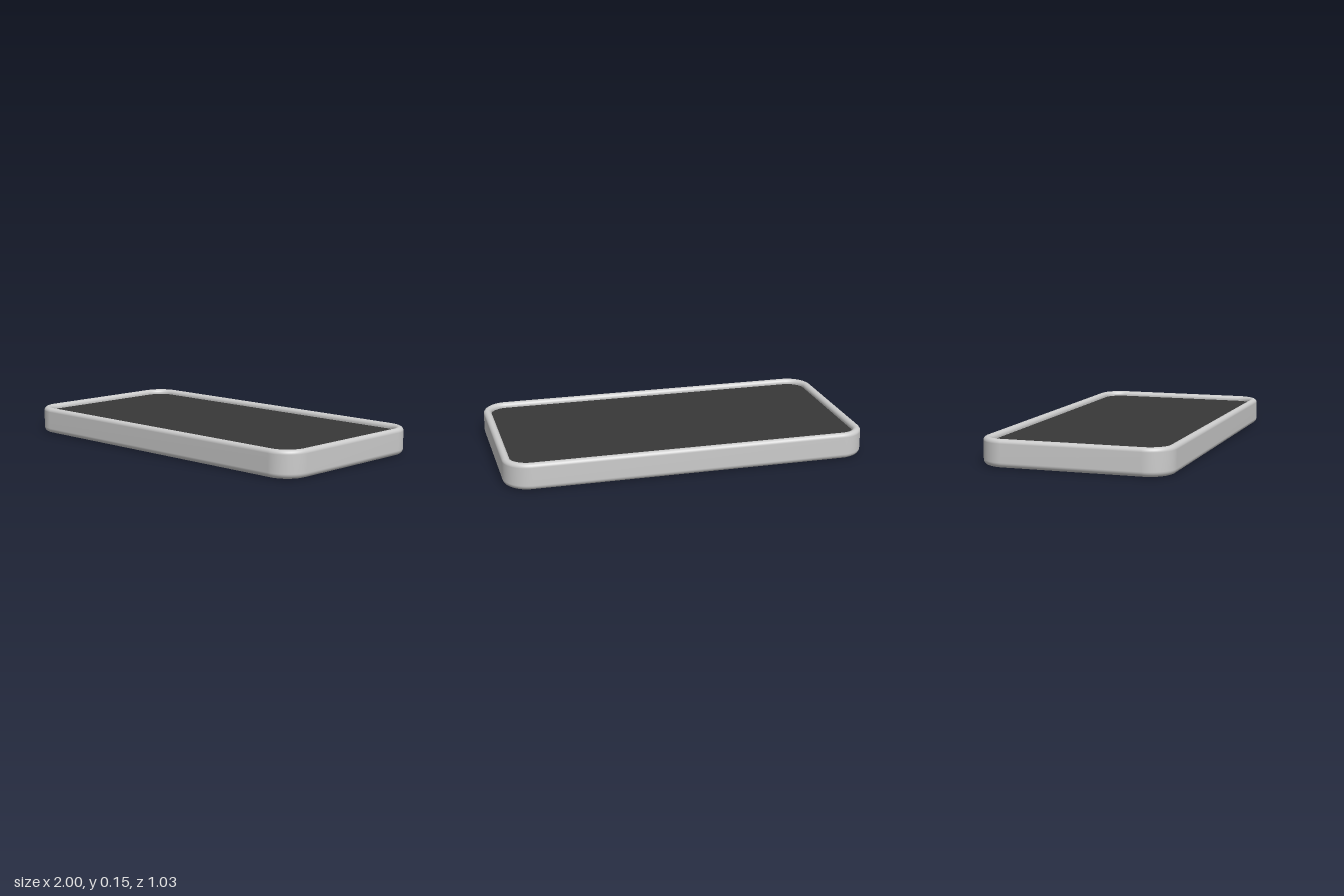
import * as THREE from 'three';

const HALF_X = 1, HALF_Z = 0.515, HEIGHT = 0.147, CORNER = 0.14;
const RIM = 0.044, BOTTOM_BEVEL = 0.028, FLOOR = 0.12;
const CORNER_STEPS = 14;

// Rounded rectangle outline, moved inwards by inset
function outline(inset) {
  const r = CORNER - inset;
  const points = [];
  for (let q = 0; q < 4; q++) {
    const sx = q === 0 || q === 3 ? 1 : -1;
    const sz = q < 2 ? 1 : -1;
    for (let i = 0; i <= CORNER_STEPS; i++) {
      const a = (q + i / CORNER_STEPS) * Math.PI / 2;
      points.push(new THREE.Vector2(
        sx * (HALF_X - CORNER) + r * Math.cos(a),
        sz * (HALF_Z - CORNER) + r * Math.sin(a)));
    }
  }
  return points;
}

// Frame cross-section as [inset, height]: lower bevel, wall, rounded lip, inner wall
function frameProfile() {
  const profile = [];
  const arc = (cx, cy, r, from, to, steps) => {
    for (let i = 0; i <= steps; i++) {
      const a = from + (to - from) * i / steps;
      profile.push([cx - r * Math.cos(a), cy + r * Math.sin(a)]);
    }
  };
  arc(BOTTOM_BEVEL, BOTTOM_BEVEL, BOTTOM_BEVEL, -Math.PI / 2, 0, 8);
  arc(RIM / 2, HEIGHT - RIM / 2, RIM / 2, 0, Math.PI, 16);
  profile.push([RIM, FLOOR - 0.005]);
  return profile;
}

// Sweep the cross-section round the outline
function frameGeometry() {
  const positions = [], index = [];
  const profile = frameProfile();
  const n = 4 * (CORNER_STEPS + 1);
  for (const [inset, y] of profile) {
    for (const p of outline(inset)) positions.push(p.x, y, p.y);
  }
  for (let j = 0; j < profile.length - 1; j++) {
    for (let i = 0; i < n; i++) {
      const k = (i + 1) % n;
      const a = j * n + i, b = j * n + k, c = a + n, d = b + n;
      index.push(a, c, b, b, c, d);
    }
  }
  const geometry = new THREE.BufferGeometry();
  geometry.setAttribute('position', new THREE.Float32BufferAttribute(positions, 3));
  geometry.setIndex(index);
  geometry.computeVertexNormals();
  return geometry;
}

export function createModel() {
  const group = new THREE.Group();
  const grey = new THREE.MeshStandardMaterial({ color: 0xcccccc });
  const dark = new THREE.MeshStandardMaterial({ color: 0x383838 });

  const add = (name, geometry, material, y = 0) => {
    const mesh = new THREE.Mesh(geometry, material);
    mesh.name = name;
    mesh.position.y = y;
    group.add(mesh);
  };

  add('frame', frameGeometry(), grey);

  // Flat dark panels: recessed on top, flush underneath
  const panel = (inset, turn) =>
    new THREE.ShapeGeometry(new THREE.Shape(outline(inset))).rotateX(turn * Math.PI / 2);
  add('topPanel', panel(RIM, -1), dark, FLOOR);
  add('bottomPanel', panel(BOTTOM_BEVEL, 1), dark);

  return group;
}
